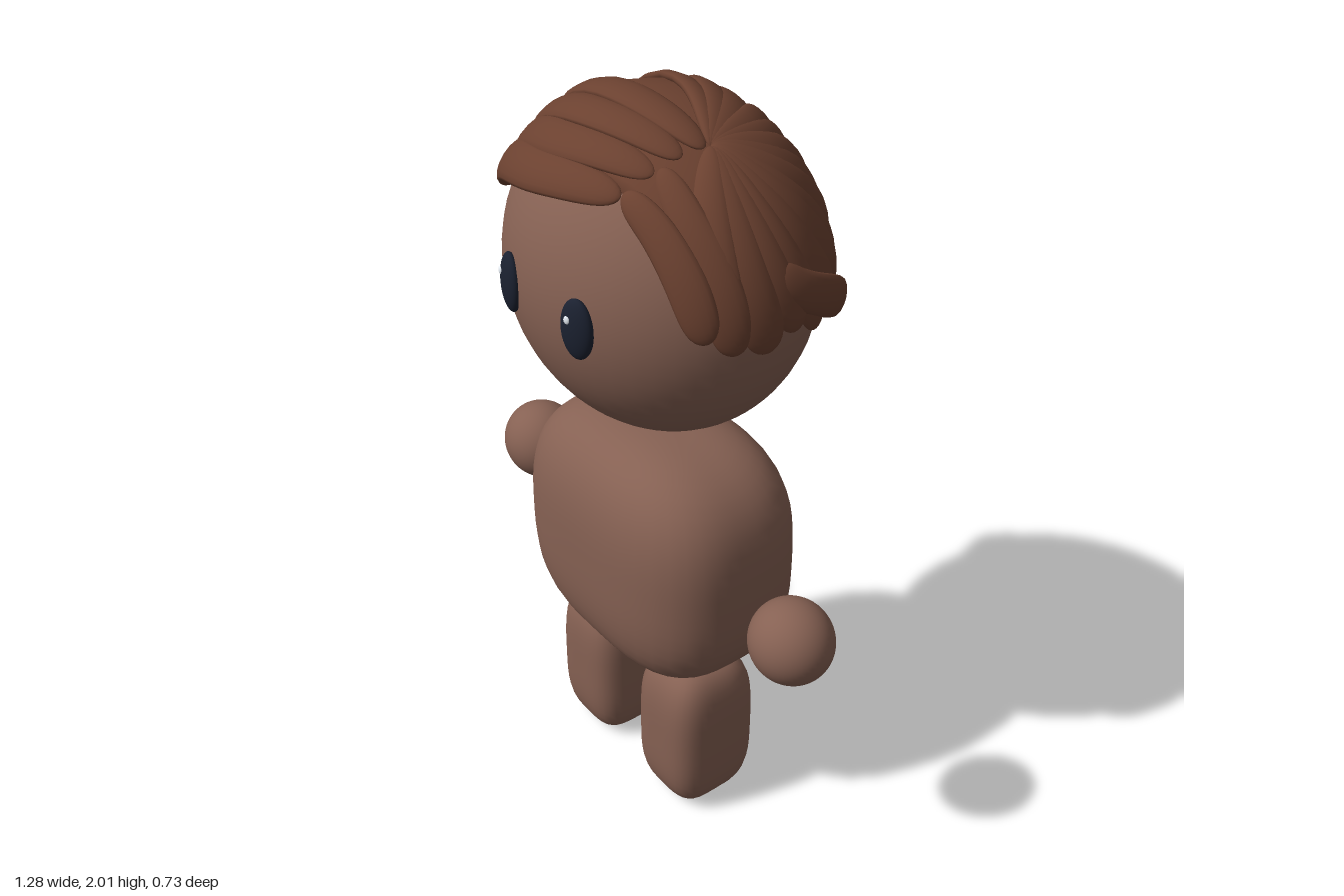
import * as THREE from 'three';

const mat = (color, side = THREE.FrontSide) =>
  new THREE.MeshStandardMaterial({ color, side, roughness: 0.8 });
const V = (x, y, z) => new THREE.Vector3(x, y, z).normalize();

const HEAD = new THREE.Vector3(0, 1.575, 0.01);
const RADII = new THREE.Vector3(0.41, 0.405, 0.345);
const CROWN = V(0.47, 0.88, 0.05);

// point above the head in a given direction; lift 1 lies on the skin
const onHead = (dir, lift) => dir.clone().normalize().multiply(RADII).multiplyScalar(lift).add(HEAD);

// sphere squared off by exponent n (2 = plain ellipsoid)
function blob(name, material, center, size, n = 2) {
  const geo = new THREE.SphereGeometry(1, 48, 32);
  const p = geo.attributes.position;
  const v = new THREE.Vector3();
  for (let i = 0; i < p.count; i++) {
    v.fromBufferAttribute(p, i);
    const r = (Math.abs(v.x) ** n + Math.abs(v.y) ** n + Math.abs(v.z) ** n) ** (-1 / n);
    v.multiplyScalar(r);
    p.setXYZ(i, v.x, v.y, v.z);
  }
  geo.scale(...size);
  if (n !== 2) geo.computeVertexNormals();
  const mesh = new THREE.Mesh(geo, material);
  mesh.name = name;
  mesh.position.set(...center);
  return mesh;
}

// skin a grid of rows x cols points, closed around the columns
function skin(points, rows, cols) {
  const index = [];
  for (let i = 0; i < rows - 1; i++) {
    for (let j = 0; j < cols; j++) {
      const k = (j + 1) % cols;
      const a = i * cols + j, b = i * cols + k, c = a + cols, d = b + cols;
      index.push(a, b, c, b, d, c);
    }
  }
  const geo = new THREE.BufferGeometry().setFromPoints(points);
  geo.setIndex(index);
  geo.computeVertexNormals();
  return geo;
}

// rounded, flattened lock of hair that follows the head along a path of directions
function lock(name, material, path, width, { lift0 = 1.025, lift1 = 1.05, thick = 0.04, root = 0.4 } = {}) {
  const curve = new THREE.CatmullRomCurve3(path);
  const rows = 29, cols = 16, points = [];
  for (let i = 0; i < rows; i++) {
    const t = 0.5 - 0.5 * Math.cos((Math.PI * i) / (rows - 1));
    const dir = curve.getPoint(t).normalize();
    const side = dir.clone().cross(curve.getTangent(t)).normalize();
    const round = Math.sqrt(Math.max(0, 1 - t ** 9)) * Math.sqrt(Math.max(0, 1 - (1 - t) ** 14));
    const w = width * (root + (1 - root) * t ** 0.6) * round;
    const lift = lift0 + (lift1 - lift0) * t;
    for (let j = 0; j < cols; j++) {
      const a = (j / cols) * Math.PI * 2;
      const spot = dir.clone().addScaledVector(side, w * Math.cos(a));
      // one edge sits higher so that neighbours overlap like shingles
      points.push(onHead(spot, lift + round * (thick * Math.sin(a) + 0.014 * Math.cos(a))));
    }
  }
  const mesh = new THREE.Mesh(skin(points, rows, cols), material);
  mesh.name = name;
  return mesh;
}

// thin layer under the locks, tucked into the head at the hem
function hairCap(material) {
  const hem = new THREE.CatmullRomCurve3([
    V(0.33, 0.72, 0.62), V(-0.23, 0.67, 0.72), V(-0.66, 0.53, 0.55), V(-0.95, 0.24, 0.25),
    V(-0.9, 0.06, -0.4), V(-0.5, 0.03, -0.87), V(0, 0.02, -1), V(0.5, 0.03, -0.87),
    V(0.9, 0.06, -0.4), V(0.97, 0.1, 0.2), V(0.76, 0.43, 0.48),
  ], true);
  const rows = 15, cols = 64, points = [];
  for (let i = 0; i < rows; i++) {
    const t = i / (rows - 1);
    for (let j = 0; j < cols; j++) {
      const dir = CROWN.clone().lerp(hem.getPoint(j / cols).normalize(), t);
      points.push(onHead(dir, i === rows - 1 ? 0.98 : 1.03));
    }
  }
  const mesh = new THREE.Mesh(skin(points, rows, cols), material);
  mesh.name = 'hairCap';
  return mesh;
}

function createHair() {
  const hair = new THREE.Group();
  hair.name = 'hair';
  const brown = mat(0x6b4130, THREE.DoubleSide);
  hair.add(hairCap(brown));

  // fringe swept from the parting across the forehead
  const fringe = [
    [V(0.36, 0.7, 0.62), V(-0.23, 0.65, 0.74), V(-0.66, 0.5, 0.58), V(-0.94, 0.2, 0.3)],
    [V(0.42, 0.8, 0.43), V(-0.2, 0.8, 0.57), V(-0.7, 0.6, 0.4), V(-0.98, 0.14, 0.12)],
    [V(0.45, 0.86, 0.25), V(-0.15, 0.92, 0.37), V(-0.75, 0.62, 0.2), V(-0.99, 0.1, -0.08)],
    [V(0.47, 0.88, 0.1), V(-0.1, 0.98, 0.15), V(-0.78, 0.62, -0.02), V(-0.97, 0.06, -0.25)],
  ];
  fringe.forEach((path, i) => hair.add(lock('fringeLock', brown, path, 0.15,
    { lift0: 1.03, lift1: i === 0 ? 1.08 : 1.055, thick: i === 0 ? 0.05 : 0.04, root: 0.75 })));

  // short side of the parting
  hair.add(lock('partingLock', brown,
    [V(0.36, 0.72, 0.6), V(0.6, 0.57, 0.56), V(0.78, 0.35, 0.52), V(0.87, 0.06, 0.46)], 0.13,
    { lift1: 1.07, thick: 0.045, root: 0.6 }));
  hair.add(lock('partingLock', brown,
    [V(0.42, 0.82, 0.38), V(0.65, 0.64, 0.4), V(0.86, 0.36, 0.36), V(0.95, 0, 0.3)], 0.14,
    { lift1: 1.06, root: 0.5 }));

  // locks fanning from the crown around the side and back
  const count = 15;
  for (let i = 0; i < count; i++) {
    const a = THREE.MathUtils.degToRad(72 + (183 * i) / (count - 1));
    const end = V(Math.sin(a), -0.03 - 0.04 * Math.sin(i * 2.4) - 0.03 * Math.max(0, -Math.cos(a)), Math.cos(a));
    const bow = CROWN.clone().cross(end).multiplyScalar(-0.1);
    const at = (t) => CROWN.clone().lerp(end, t).add(bow).normalize();
    hair.add(lock('crownLock', brown, [CROWN.clone(), at(0.32), at(0.66), end],
      0.15 + 0.02 * Math.sin(i * 1.7), { lift1: 1.055 + 0.012 * Math.sin(i * 3.1), root: 0.35 }));
  }

  // loose flicks standing off behind the temples
  for (const s of [1, -1]) {
    hair.add(lock('sideFlick', brown,
      [V(s * 0.93, 0.36, 0.02), V(s * 0.97, 0.22, -0.16), V(s * 0.91, 0.08, -0.42), V(s * 0.78, -0.04, -0.63)],
      0.12, { lift0: 1.04, lift1: 1.13, thick: 0.045, root: 0.8 }));
  }
  return hair;
}

export function createModel() {
  const model = new THREE.Group();
  model.name = 'figure';
  const skinTone = mat(0x866153);
  const eyeDark = mat(0x1b2130);
  const white = mat(0xe8eef5);

  model.add(blob('head', skinTone, HEAD.toArray(), RADII.toArray()));
  model.add(blob('body', skinTone, [0, 0.785, 0.01], [0.37, 0.345, 0.25], 3));

  for (const s of [1, -1]) {
    const sideName = s > 0 ? 'left' : 'right';
    model.add(blob(sideName + 'Leg', skinTone, [s * 0.177, 0.236, 0.025], [0.123, 0.236, 0.133], 3.6));
    model.add(blob(sideName + 'Hand', skinTone, [s * 0.53, 0.77, 0.02], [0.11, 0.11, 0.105]));

    // eye with a small glint
    const eye = new THREE.Group();
    eye.name = sideName + 'Eye';
    eye.add(blob('pupil', eyeDark, [0, 0, 0], [0.044, 0.076, 0.022]));
    eye.add(blob('glint', white, [-0.013, 0.028, 0.02], [0.008, 0.01, 0.004]));
    eye.position.set(s * 0.13, 1.573, 0.337);
    eye.rotation.y = s * 0.27;
    model.add(eye);
  }

  model.add(createHair());
  return model;
}
